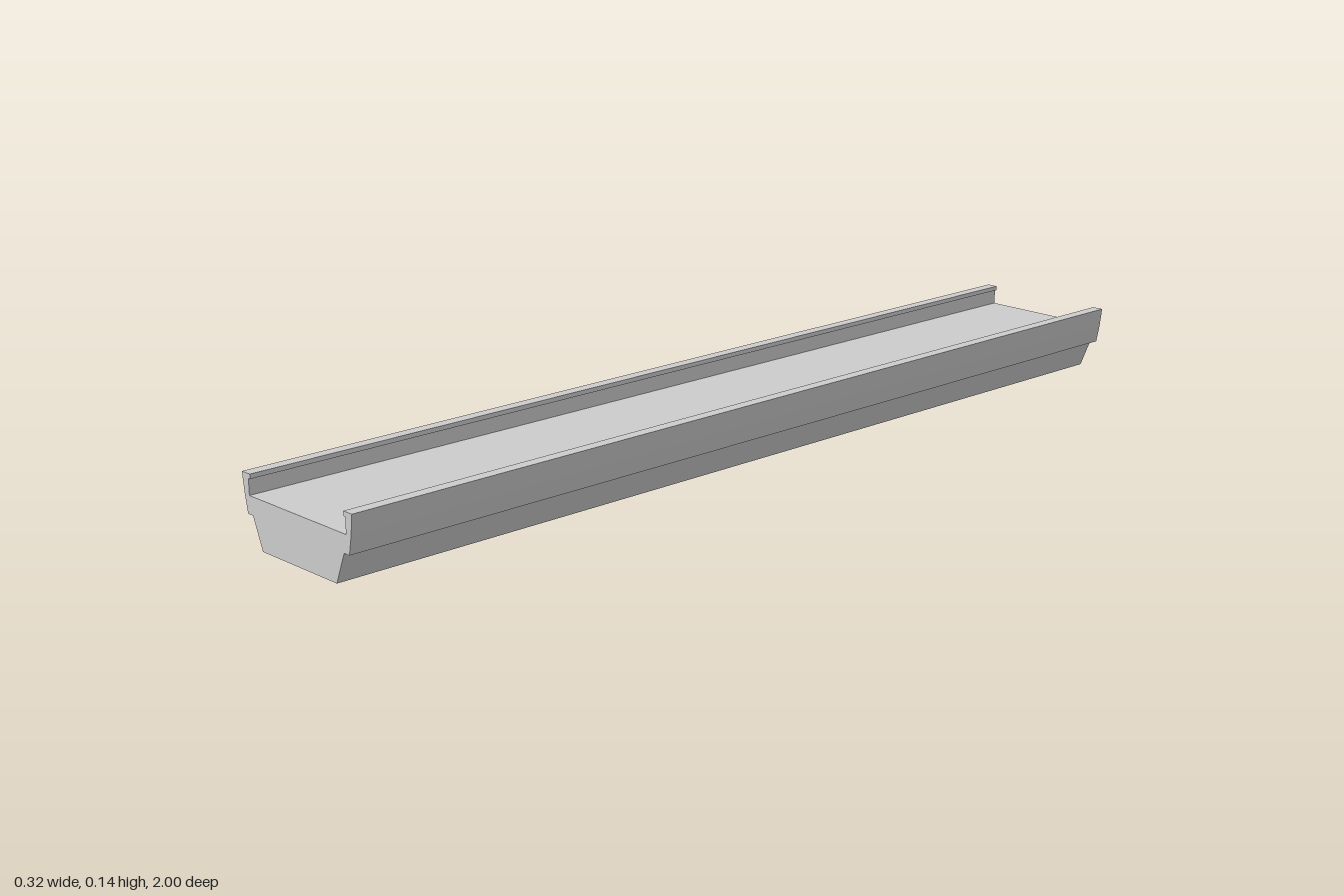
import * as THREE from 'three';

export function createModel() {
  const group = new THREE.Group();
  group.name = 'bridgeDeck';

  // Left half of the constant cross-section, from the underside up to the deck
  const half = [
    [0.109, 0],      // underside edge
    [0.134, 0.06],   // top of sloping flank
    [0.149, 0.06],   // ledge under the parapet
    [0.156, 0.095],  // parapet outer face
    [0.16, 0.126],
    [0.161, 0.135],  // top of coping
    [0.137, 0.135],
    [0.137, 0.126],  // underside of coping lip
    [0.142, 0.126],
    [0.142, 0.095],  // foot of parapet at the deck
  ];
  const mirrored = half.map(([x, y]) => [-x, y]).reverse();
  const profile = new THREE.Shape(
    [...half, ...mirrored].map(([x, y]) => new THREE.Vector2(x, y))
  );

  // Sweep the cross-section along the full length
  const length = 2;
  const geometry = new THREE.ExtrudeGeometry(profile, {
    depth: length, steps: 1, bevelEnabled: false,
  });
  geometry.translate(0, 0, -length / 2);

  const span = new THREE.Mesh(
    geometry,
    new THREE.MeshStandardMaterial({ color: 0xcccccc, flatShading: true })
  );
  span.name = 'deckWithParapets';
  group.add(span);
  return group;
}
